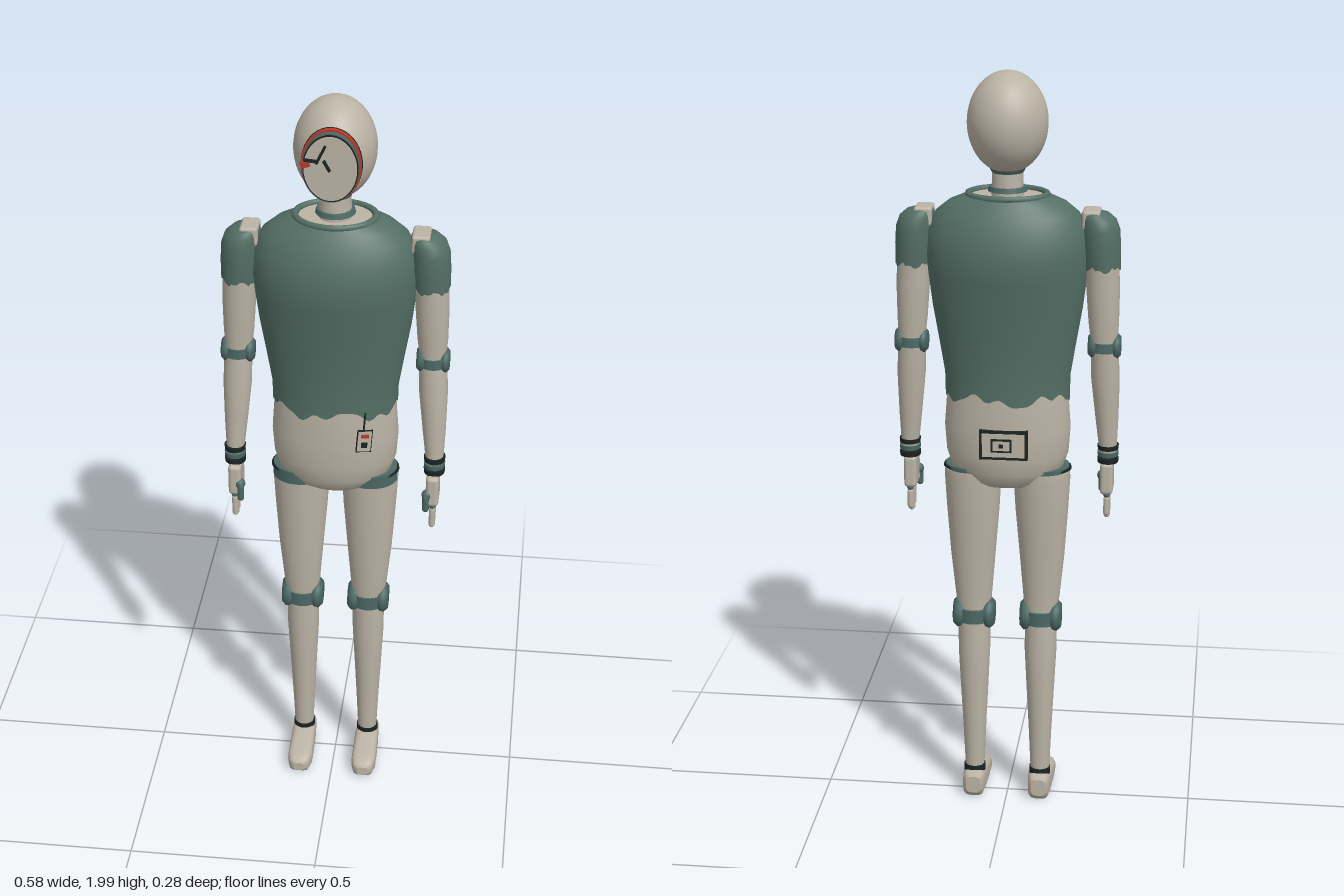
import * as THREE from 'three';
import { RoundedBoxGeometry } from 'three/addons/geometries/RoundedBoxGeometry.js';

const mat = (name, color, side = THREE.FrontSide) => {
  const m = new THREE.MeshStandardMaterial({ color, side });
  m.name = name;
  return m;
};

// Loft of superellipse rings, bottom to top: [y, centreX, centreZ, radiusX, radiusZ]
function loft(rings, { n = 28, power = 1, capBottom = true, capTop = true, hem = null } = {}) {
  const pos = [], idx = [];
  const sgnPow = (v) => Math.sign(v) * Math.abs(v) ** power;
  const addRing = ([y, cx, cz, rx, rz], useHem) => {
    const start = pos.length / 3;
    for (let i = 0; i < n; i++) {
      const a = (i / n) * Math.PI * 2;
      pos.push(cx + rx * sgnPow(Math.cos(a)), y + (useHem ? hem(a) : 0), cz + rz * sgnPow(Math.sin(a)));
    }
    return start;
  };
  const starts = rings.map((r, k) => addRing(r, hem && k === 0));
  for (let k = 0; k < starts.length - 1; k++) {
    for (let i = 0; i < n; i++) {
      const j = (i + 1) % n, a = starts[k], b = starts[k + 1];
      idx.push(a + i, b + i, a + j, b + i, b + j, a + j);
    }
  }
  const cap = (r, top) => {
    const s = addRing(r, false), c = pos.length / 3;
    pos.push(r[1], r[0], r[2]);
    for (let i = 0; i < n; i++) {
      const j = (i + 1) % n;
      idx.push(c, s + (top ? j : i), s + (top ? i : j));
    }
  };
  if (capBottom) cap(rings[0], false);
  if (capTop) cap(rings[rings.length - 1], true);
  const g = new THREE.BufferGeometry();
  g.setAttribute('position', new THREE.Float32BufferAttribute(pos, 3));
  g.setIndex(idx);
  g.computeVertexNormals();
  return g;
}

// Irregular torn hem height around the cloth
const tornHem = (size) => (a) => size * (Math.sin(a * 5 + 1) + 0.6 * Math.sin(a * 11) + 0.4 * Math.cos(a * 17));

export function createModel() {
  const model = new THREE.Group();
  model.name = 'mannequin';
  const shell = mat('warm grey shell', 0xbbb3a5);
  const cloth = mat('green cloth', 0x546f65, THREE.DoubleSide);
  const joint = mat('teal joint', 0x4c6965);
  const dark = mat('near black', 0x1b2421);
  const red = mat('red', 0xb83a2c);

  const add = (name, geo, material, x = 0, y = 0, z = 0, parent = model) => {
    const m = new THREE.Mesh(geo, material);
    m.name = name;
    m.position.set(x, y, z);
    parent.add(m);
    return m;
  };
  const box = (w, h, d) => new THREE.BoxGeometry(w, h, d);

  // Head, neck and collar
  add('head', new THREE.SphereGeometry(1, 40, 28), shell, 0, 1.872, 0).scale.set(0.102, 0.128, 0.11);
  add('neck', new THREE.CylinderGeometry(0.038, 0.042, 0.1, 28), shell, 0, 1.72, 0);
  add('neckCap', new THREE.CylinderGeometry(0.052, 0.04, 0.022, 28), joint, 0, 1.757, 0);
  add('neckRing', new THREE.CylinderGeometry(0.047, 0.05, 0.012, 28), joint, 0, 1.705, 0);
  const collar = add('collar', new THREE.TorusGeometry(0.1, 0.009, 8, 40).rotateX(Math.PI / 2), cloth, 0, 1.69, 0);
  collar.scale.z = 0.78;

  // Oval face plate with rim and broken marks
  const oval = (name, material, rx, z0, z1) => {
    const g = new THREE.CylinderGeometry(1, 1, z1 - z0, 40).rotateX(Math.PI / 2);
    add(name, g, material, 0, 1.862, (z0 + z1) / 2).scale.set(rx, rx * 1.28, 1);
  };
  oval('faceBack', dark, 0.074, 0.07, 0.084);
  oval('faceRedRim', red, 0.073, 0.084, 0.096);
  oval('faceDarkRim', joint, 0.069, 0.096, 0.109);
  oval('faceInset', dark, 0.067, 0.109, 0.111);
  oval('facePlate', shell, 0.064, 0.111, 0.114);
  const mark = (name, material, x, y, w, h, turn) => {
    add(name, box(w, h, 0.008), material, x, y, 0.119).rotation.z = turn;
  };
  mark('faceCrackUpper', dark, -0.022, 1.9, 0.006, 0.05, -0.45);
  mark('faceCrackLower', dark, -0.008, 1.872, 0.006, 0.03, 0.5);
  mark('faceCrackSide', dark, -0.045, 1.884, 0.035, 0.006, -0.1);
  mark('faceRedChip', red, -0.06, 1.875, 0.022, 0.016, 0.3);

  // Torn shirt over the chest
  add('shirt', loft([
    [1.168, 0, 0, 0.162, 0.102], [1.22, 0, 0, 0.163, 0.102], [1.3, 0, 0, 0.176, 0.107],
    [1.4, 0, 0, 0.193, 0.119], [1.48, 0, 0, 0.203, 0.132], [1.54, 0, 0, 0.209, 0.14],
    [1.6, 0, 0, 0.205, 0.129], [1.645, 0, 0, 0.183, 0.108], [1.672, 0, 0, 0.15, 0.092],
    [1.69, 0, 0, 0.106, 0.08],
  ], { n: 80, capBottom: false, capTop: false, hem: tornHem(0.011) }), cloth);
  add('chestTop', loft([[1.66, 0, 0, 0.12, 0.085], [1.688, 0, 0, 0.1, 0.076]]), shell);

  // Pelvis
  add('pelvis', loft([
    [0.922, 0, 0, 0.09, 0.062], [0.935, 0, 0, 0.115, 0.078], [0.965, 0, 0, 0.145, 0.092],
    [1.01, 0, 0, 0.16, 0.1], [1.08, 0, 0, 0.165, 0.103], [1.16, 0, 0, 0.159, 0.1], [1.23, 0, 0, 0.156, 0.097],
  ], { n: 40 }), shell);

  // Hanging tag at the front
  const tag = new THREE.Group();
  tag.name = 'tag';
  tag.position.set(0.085, 1.105, 0.102);
  tag.rotation.set(0, 0.3, -0.08);
  model.add(tag);
  add('tagCord', box(0.004, 0.055, 0.004), dark, -0.004, 0.055, 0, tag);
  add('tagEdge', box(0.04, 0.064, 0.004), dark, 0, 0, 0, tag);
  add('tagCard', box(0.035, 0.058, 0.005), shell, 0, 0, 0.001, tag);
  add('tagStripe', box(0.02, 0.01, 0.004), red, 0, 0.016, 0.003, tag);
  add('tagBlock', box(0.016, 0.016, 0.004), dark, 0, -0.01, 0.003, tag);

  // Framed panel at the back
  add('backPanelFrame', box(0.125, 0.078, 0.016), dark, 0, 1.055, -0.1);
  add('backPanel', box(0.11, 0.063, 0.018), shell, 0, 1.055, -0.101);
  add('backPanelSlot', box(0.055, 0.036, 0.006), dark, 0.005, 1.055, -0.109);
  add('backPanelLabel', box(0.044, 0.025, 0.006), shell, 0.005, 1.055, -0.111);
  add('backPanelLatch', box(0.012, 0.01, 0.006), dark, 0.005, 1.055, -0.113);

  // Spool-shaped hinge lying along x
  const hinge = (half, r) => new THREE.LatheGeometry([
    [0, -half], [r * 0.75, -half], [r, -half * 0.8], [r * 0.95, -half * 0.6], [r * 0.62, -half * 0.3],
    [r * 0.62, half * 0.3], [r * 0.95, half * 0.6], [r, half * 0.8], [r * 0.75, half], [0, half],
  ].map(([x, y]) => new THREE.Vector2(x, y)), 24).rotateZ(Math.PI / 2);

  for (const s of [-1, 1]) {
    const side = s > 0 ? 'left' : 'right';
    const limb = (name, rings, material, options) =>
      add(side + name, loft(rings.map(([y, x, ...r]) => [y, x * s, ...r]), options), material);

    // Leg
    limb('HipJoint', [[0.935, 0.092, 0, 0.073, 0.066], [0.972, 0.093, 0, 0.07, 0.068]], joint);
    limb('HipSeam', [[0.962, 0.095, 0, 0.074, 0.062], [0.968, 0.095, 0, 0.073, 0.062]], dark);
    limb('Thigh', [
      [0.548, 0.09, -0.003, 0.043, 0.037], [0.6, 0.091, -0.001, 0.049, 0.041], [0.72, 0.092, -0.002, 0.06, 0.05],
      [0.85, 0.091, -0.005, 0.07, 0.059], [0.94, 0.091, -0.006, 0.075, 0.064], [0.96, 0.091, -0.006, 0.074, 0.063],
    ], shell);
    add(side + 'Knee', hinge(0.055, 0.043), joint, 0.09 * s, 0.542, -0.004);
    limb('KneeBand', [[0.522, 0.09, -0.004, 0.046, 0.044], [0.56, 0.09, -0.004, 0.046, 0.044]], joint);
    limb('Shin', [
      [0.085, 0.09, -0.008, 0.026, 0.026], [0.2, 0.09, -0.008, 0.031, 0.031], [0.34, 0.09, -0.008, 0.038, 0.039],
      [0.44, 0.09, -0.007, 0.043, 0.042], [0.53, 0.09, -0.005, 0.043, 0.038],
    ], shell);
    limb('Ankle', [[0.07, 0.09, -0.01, 0.029, 0.029], [0.09, 0.09, -0.01, 0.029, 0.029]], dark);
    // Foot rings run heel to toe, then tip forward
    const foot = loft([
      [-0.055, 0, -0.043, 0.02, 0.024], [-0.048, 0, -0.043, 0.029, 0.036], [0, 0, -0.043, 0.033, 0.037],
      [0.05, 0, -0.037, 0.034, 0.031], [0.1, 0, -0.032, 0.034, 0.026], [0.125, 0, -0.029, 0.027, 0.021],
      [0.132, 0, -0.027, 0.015, 0.013],
    ], { power: 0.6 }).rotateX(Math.PI / 2);
    add(side + 'Foot', foot, shell, 0.09 * s, 0, 0);

    // Sleeve and shoulder
    limb('Sleeve', [
      [1.508, 0.241, 0, 0.047, 0.052], [1.56, 0.238, 0, 0.05, 0.056], [1.605, 0.236, 0, 0.049, 0.057],
      [1.63, 0.231, 0, 0.045, 0.052], [1.645, 0.223, 0, 0.036, 0.043], [1.65, 0.216, 0, 0.024, 0.034],
    ], cloth, { n: 40, capBottom: false, hem: tornHem(0.005) });
    add(side + 'ShoulderTop', new RoundedBoxGeometry(0.046, 0.05, 0.07, 2, 0.008), shell, 0.213 * s, 1.632, 0);

    // Arm
    limb('UpperArm', [
      [1.305, 0.249, 0, 0.034, 0.032], [1.36, 0.247, 0, 0.039, 0.036],
      [1.45, 0.244, 0, 0.043, 0.043], [1.6, 0.238, 0, 0.043, 0.046],
    ], shell);
    add(side + 'Elbow', hinge(0.042, 0.033), joint, 0.25 * s, 1.3, 0.002);
    limb('ElbowBand', [[1.286, 0.25, 0.002, 0.037, 0.036], [1.312, 0.25, 0.002, 0.037, 0.035]], joint);
    limb('Forearm', [
      [1.0, 0.262, 0.023, 0.022, 0.024], [1.1, 0.258, 0.016, 0.03, 0.029],
      [1.21, 0.253, 0.008, 0.037, 0.036], [1.295, 0.25, 0.002, 0.036, 0.033],
    ], shell);
    for (const [k, y] of [0.983, 1.001, 1.019].entries()) {
      limb('WristBand' + k, [
        [y - 0.006, 0.262, 0.024, 0.027, 0.03], [y + 0.006, 0.262, 0.024, 0.028, 0.031],
      ], k === 1 ? joint : dark);
    }

    // Hand with thumb and four fingers
    add(side + 'Palm', new RoundedBoxGeometry(0.034, 0.088, 0.076, 3, 0.011), shell, 0.26 * s, 0.935, 0.031);
    for (let f = 0; f < 4; f++) {
      const z = 0.004 + f * 0.018, len = [0.05, 0.062, 0.066, 0.058][f];
      add(side + 'Knuckle' + f, new THREE.SphereGeometry(0.009, 12, 8), joint, 0.261 * s, 0.891, z);
      add(side + 'Finger' + f, new THREE.CapsuleGeometry(0.008, len - 0.012, 4, 12), shell, 0.261 * s, 0.884 - len / 2, z);
    }
    add(side + 'ThumbJoint', new THREE.SphereGeometry(0.014, 14, 10), joint, 0.246 * s, 0.925, 0.06);
    add(side + 'Thumb', new THREE.CapsuleGeometry(0.009, 0.035, 4, 12), joint, 0.244 * s, 0.903, 0.067);
  }
  return model;
}
